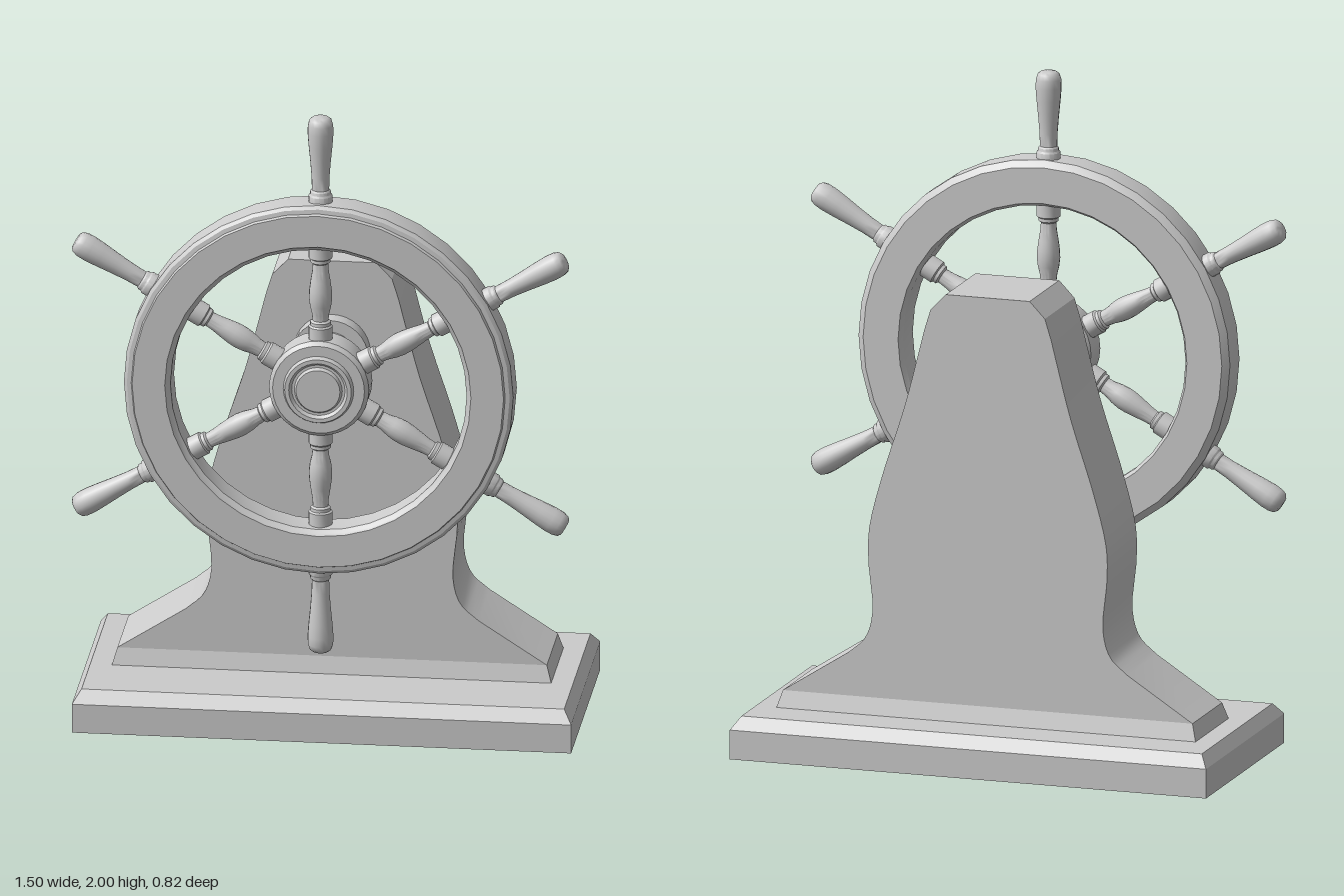
import * as THREE from 'three';
import { toCreasedNormals } from 'three/addons/utils/BufferGeometryUtils.js';

const material = new THREE.MeshStandardMaterial({ color: 0xcccccc });
const WHEEL_Y = 1.15, SPOKE_Z = 0.34;

function part(name, geometry) {
  const mesh = new THREE.Mesh(geometry, material);
  mesh.name = name;
  return mesh;
}

// Turned shape from [radius, height] pairs, listed from bottom to top
function turned(profile, segments, crease = 0.5) {
  const points = profile.map(([r, h]) => new THREE.Vector2(r, h));
  return toCreasedNormals(new THREE.LatheGeometry(points, segments), crease);
}

// Box whose top face is drawn in by insetX and insetZ on each side
function taperedBox(w, h, d, insetX, insetZ) {
  const geometry = new THREE.BoxGeometry(w, h, d);
  const p = geometry.attributes.position;
  for (let i = 0; i < p.count; i++) {
    if (p.getY(i) > 0) {
      p.setX(i, p.getX(i) - Math.sign(p.getX(i)) * insetX);
      p.setZ(i, p.getZ(i) - Math.sign(p.getZ(i)) * insetZ);
    }
  }
  geometry.computeVertexNormals();
  return geometry.translate(0, h / 2, 0);
}

// Upright with a flared foot, extruded from a mirrored outline
function pedestalGeometry() {
  const flank = new THREE.CatmullRomCurve3([
    [0.44, 0.31], [0.386, 0.36], [0.363, 0.44], [0.376, 0.6], [0.373, 0.7],
    [0.333, 0.86], [0.262, 1.08], [0.22, 1.24], [0.2, 1.32],
  ].map(([x, y]) => new THREE.Vector3(x, y, 0))).getPoints(28);
  const half = [
    new THREE.Vector2(0.645, 0.178),
    ...flank.map((p) => new THREE.Vector2(p.x, p.y)),
    new THREE.Vector2(0.18, 1.385),
    new THREE.Vector2(0.132, 1.435),
  ];
  const mirrored = half.map((p) => new THREE.Vector2(-p.x, p.y)).reverse();
  const shape = new THREE.Shape([...half, ...mirrored]);
  const geometry = new THREE.ExtrudeGeometry(shape, { depth: 0.275, bevelEnabled: false });
  return toCreasedNormals(geometry.translate(0, 0, -0.225), 0.4);
}

export function createModel() {
  const model = new THREE.Group();
  model.name = 'shipWheelOnStand';

  // Base slab with a chamfered top edge
  const base = new THREE.Group();
  base.name = 'base';
  const slab = part('baseSlab', new THREE.BoxGeometry(1.5, 0.09, 0.726));
  slab.position.y = 0.045;
  const chamfer = part('baseChamfer', taperedBox(1.5, 0.037, 0.726, 0.025, 0.035));
  chamfer.position.y = 0.09;
  base.add(slab, chamfer);
  base.position.z = -0.046;
  model.add(base);

  // Pedestal and its skirt
  const skirt = part('pedestalSkirt', taperedBox(1.32, 0.051, 0.307, 0.015, 0.016));
  skirt.position.set(0, 0.127, -0.0875);
  model.add(skirt, part('pedestal', pedestalGeometry()));

  // Stepped axle running forward from the pedestal
  const axle = part('axle', turned([
    [0, 0.04], [0.115, 0.04], [0.115, 0.103], [0.078, 0.103], [0.078, 0.165],
    [0.06, 0.185], [0.06, 0.258], [0.09, 0.258], [0.1, 0.268], [0.1, 0.29],
  ], 32).rotateX(Math.PI / 2));
  axle.position.y = WHEEL_Y;
  model.add(axle);

  const wheel = new THREE.Group();
  wheel.name = 'wheel';
  wheel.position.y = WHEEL_Y;
  model.add(wheel);

  // Rim with stepped, chamfered edges
  wheel.add(part('rim', turned([
    [0.455, 0.283], [0.565, 0.283], [0.585, 0.3], [0.585, 0.388],
    [0.575, 0.396], [0.562, 0.398], [0.558, 0.408], [0.46, 0.408],
    [0.455, 0.398], [0.445, 0.39], [0.445, 0.3], [0.455, 0.283],
  ], 36).rotateX(Math.PI / 2)));

  // Hub drum with a raised ring and centre cap
  wheel.add(part('hub', turned([
    [0, 0.28], [0.138, 0.28], [0.15, 0.292], [0.15, 0.378], [0.138, 0.39],
    [0.106, 0.39], [0.1, 0.404], [0.088, 0.404], [0.08, 0.394],
    [0.072, 0.394], [0.066, 0.405], [0, 0.405],
  ], 32).rotateX(Math.PI / 2)));

  // Six turned spokes, each with a handle outside the rim
  const spokeGeometry = turned([
    [0.036, 0.13], [0.036, 0.185], [0.031, 0.19], [0.031, 0.2], [0.024, 0.205],
    [0.026, 0.225], [0.032, 0.25], [0.035, 0.275], [0.034, 0.3], [0.03, 0.33],
    [0.025, 0.36], [0.023, 0.385], [0.03, 0.39], [0.03, 0.4],
    [0.036, 0.404], [0.036, 0.46],
  ], 16, 0.6);
  const handleGeometry = turned([
    [0.036, 0.57], [0.036, 0.601], [0.031, 0.606], [0.031, 0.615], [0.026, 0.62],
    [0.027, 0.66], [0.031, 0.71], [0.036, 0.76], [0.039, 0.8], [0.038, 0.825],
    [0.033, 0.841], [0.024, 0.848], [0, 0.85],
  ], 16, 0.8);
  for (let i = 0; i < 6; i++) {
    const arm = new THREE.Group();
    arm.name = 'spokeArm' + (i + 1);
    arm.add(part('spoke', spokeGeometry), part('handle', handleGeometry));
    arm.position.z = SPOKE_Z;
    arm.rotation.z = (i * Math.PI) / 3;
    wheel.add(arm);
  }

  return model;
}
